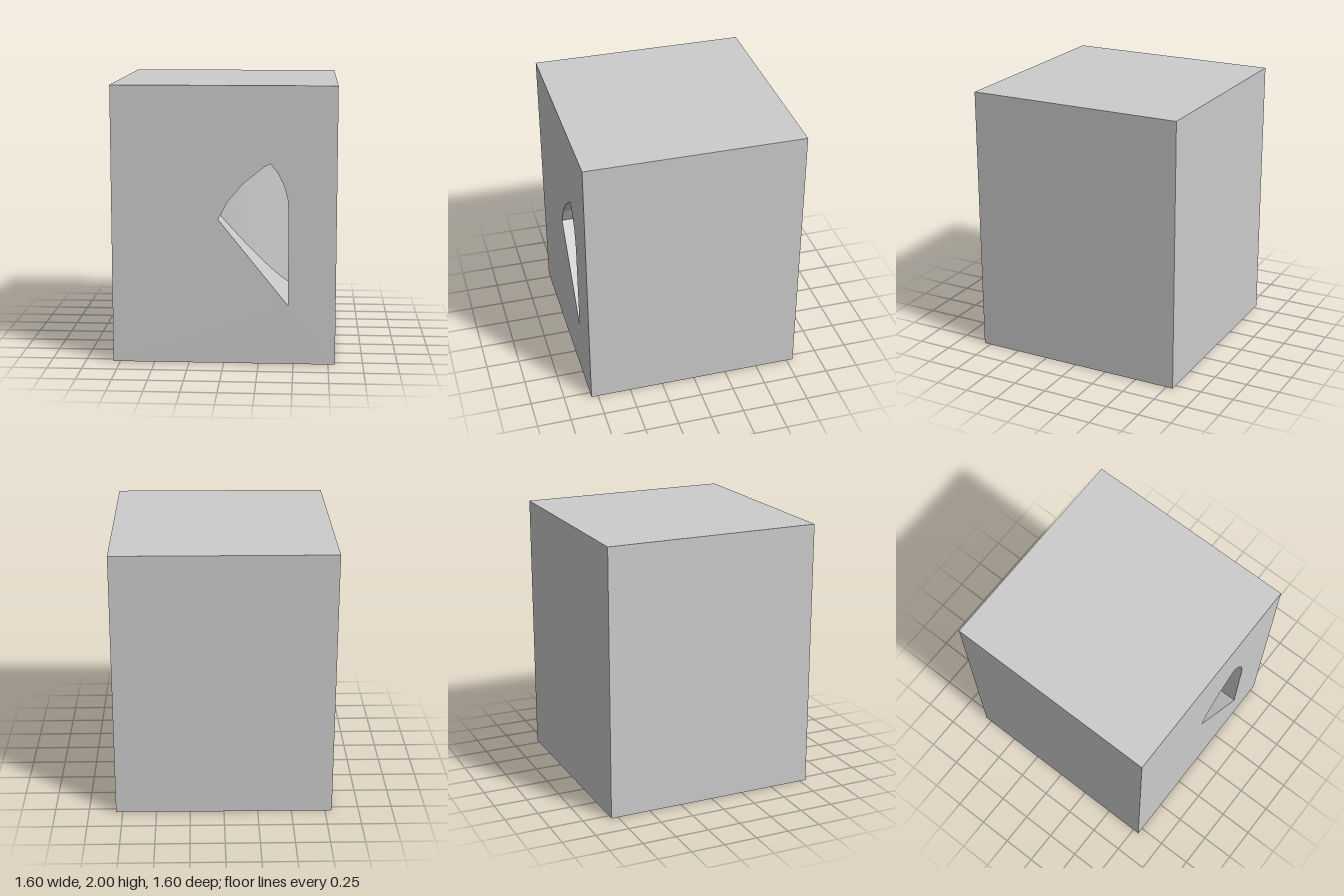
import * as THREE from 'three';

const HALF = 0.8, HEIGHT = 2;

// Upper outline of the front opening, left to right; the lower edge is one straight slope
const ARCH = [[-0.04, 1.05], [0.03, 1.18], [0.14, 1.31], [0.29, 1.43], [0.33, 1.45],
  [0.38, 1.39], [0.43, 1.29], [0.453, 1.2], [0.46, 1.12]];
const CORNER = [0.46, 0.43];
const slopeY = x => 1.05 - 1.24 * (x + 0.04);

// Back of the recess: an upright cylinder surface falling away to the right
const R = 0.9, AXIS_X = -0.4, AXIS_Z = -0.225;
const backZ = x => AXIS_Z + Math.sqrt(R * R - (x - AXIS_X) ** 2);

// Quad strip between two rows of points
function strip(a, b) {
  const index = [], n = a.length;
  for (let i = 0; i < n - 1; i++) index.push(i, n + i, n + i + 1, i, n + i + 1, i + 1);
  const geo = new THREE.BufferGeometry().setFromPoints([...a, ...b]);
  geo.setIndex(index);
  geo.computeVertexNormals();
  return geo;
}

export function createModel() {
  const model = new THREE.Group();
  const smooth = new THREE.MeshStandardMaterial({ color: 0xcccccc });
  const flat = new THREE.MeshStandardMaterial({ color: 0xcccccc, flatShading: true });
  const add = (name, geo, mat = flat, parent = model) => {
    const mesh = new THREE.Mesh(geo, mat);
    mesh.name = name;
    parent.add(mesh);
    return mesh;
  };

  // Front panel with the opening
  const panel = new THREE.Shape([[-HALF, 0], [HALF, 0], [HALF, HEIGHT], [-HALF, HEIGHT]]
    .map(p => new THREE.Vector2(...p)));
  panel.holes.push(new THREE.Path([...ARCH, CORNER].map(p => new THREE.Vector2(...p))));
  add('frontPanel', new THREE.ShapeGeometry(panel)).position.z = HALF;

  // Side and back panels
  ['leftPanel', 'backPanel', 'rightPanel'].forEach((name, i) => {
    const turn = (i + 1) * Math.PI / 2;
    const mesh = add(name, new THREE.PlaneGeometry(2 * HALF, HEIGHT));
    mesh.rotation.y = turn;
    mesh.position.set(HALF * Math.sin(turn), HEIGHT / 2, HALF * Math.cos(turn));
  });

  // Top and bottom panels
  for (const [name, y, tilt] of [['topPanel', HEIGHT, -1], ['bottomPanel', 0, 1]]) {
    const mesh = add(name, new THREE.PlaneGeometry(2 * HALF, 2 * HALF));
    mesh.rotation.x = tilt * Math.PI / 2;
    mesh.position.y = y;
  }

  // Recess: columns across the opening, split finely enough for the curved back
  const recess = new THREE.Group();
  recess.name = 'recess';
  model.add(recess);
  const columns = [ARCH[0]];
  for (let i = 1; i < ARCH.length; i++) {
    for (let k = 1; k <= 4; k++) {
      columns.push([0, 1].map(c => THREE.MathUtils.lerp(ARCH[i - 1][c], ARCH[i][c], k / 4)));
    }
  }
  const floor = columns.map(([x]) => [x, slopeY(x)]);
  const atFront = row => row.map(([x, y]) => new THREE.Vector3(x, y, HALF));
  const atBack = row => row.map(([x, y]) => new THREE.Vector3(x, y, backZ(x)));
  const archAndSide = [...columns, CORNER];

  add('recessBack', strip(atBack(columns), atBack(floor)), smooth, recess);
  add('recessArchWall', strip(atFront(archAndSide), atBack(archAndSide)), flat, recess);
  add('recessSlope', strip(atBack(floor), atFront(floor)), flat, recess);

  return model;
}
